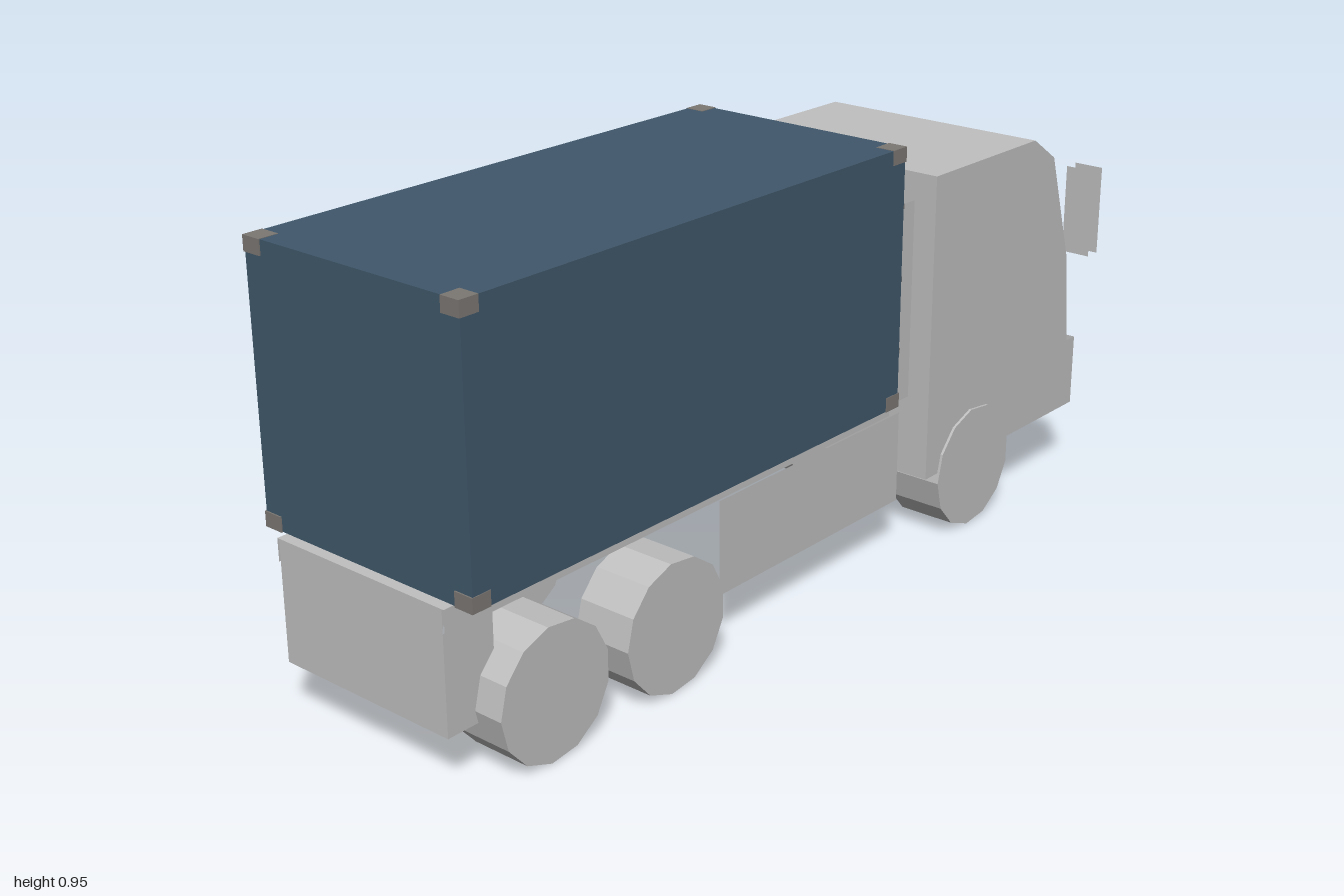
import * as THREE from 'three';

export function createModel() {
  const model = new THREE.Group();
  model.name = 'containerTruck';

  const grey = new THREE.MeshStandardMaterial({ color: 0xc0c0c0, side: THREE.DoubleSide, flatShading: true });
  grey.name = 'bodyGrey';
  const blue = new THREE.MeshStandardMaterial({ color: 0x40586b });
  blue.name = 'containerBlue';
  const steel = new THREE.MeshStandardMaterial({ color: 0x7c7874 });
  steel.name = 'fittingSteel';

  const add = (name, geometry, material, parent = model) => {
    const mesh = new THREE.Mesh(geometry, material);
    mesh.name = name;
    parent.add(mesh);
    return mesh;
  };
  const group = (name) => {
    const g = new THREE.Group();
    g.name = name;
    model.add(g);
    return g;
  };
  // Box given by its limits on each axis
  const box = (name, x0, x1, y0, y1, z0, z1, material, parent) =>
    add(name, new THREE.BoxGeometry(x1 - x0, y1 - y0, z1 - z0), material, parent)
      .position.set((x0 + x1) / 2, (y0 + y1) / 2, (z0 + z1) / 2);
  // Flat sheet in a plane of constant x, outlined by [z, y] points
  const sideSheet = (name, x, points, parent) => {
    const shape = new THREE.Shape(points.map(([z, y]) => new THREE.Vector2(-z, y)));
    const geometry = new THREE.ShapeGeometry(shape).rotateY(Math.PI / 2);
    add(name, geometry, grey, parent).position.x = x;
  };
  // Folded sheet spanning -w to w along a path of [z, y] points
  const foldedSheet = (name, w, path, parent) => {
    const pos = [];
    for (let i = 0; i < path.length - 1; i++) {
      const [z0, y0] = path[i], [z1, y1] = path[i + 1];
      pos.push(-w, y0, z0, w, y0, z0, w, y1, z1, -w, y0, z0, w, y1, z1, -w, y1, z1);
    }
    const geometry = new THREE.BufferGeometry();
    geometry.setAttribute('position', new THREE.Float32BufferAttribute(pos, 3));
    geometry.computeVertexNormals();
    add(name, geometry, grey, parent);
  };
  const rect = (z0, z1, y0, y1) => [[z0, y0], [z1, y0], [z1, y1], [z0, y1]];

  // Cab: open-bottomed shell with a bumper that is open on top
  const cab = group('cab');
  const shell = [[-0.39, 0.165], [-0.39, 0.862], [-0.775, 0.862], [-0.86, 0.805], [-0.94, 0.555], [-0.967, 0.333]];
  const bumper = [[-1, 0.333], [-1, 0.165]];
  foldedSheet('cabShell', 0.28, shell, cab);
  foldedSheet('bumper', 0.28, bumper, cab);
  for (const s of [-1, 1]) {
    sideSheet('cabSide', s * 0.28, [...shell, ...bumper], cab);
    // Pairs of thin mirror plates
    for (const z of [-0.945, -0.983]) {
      add('mirror', new THREE.PlaneGeometry(0.07, 0.205), grey, cab).position.set(s * 0.3, 0.662, z);
    }
  }

  // Chassis deck, tail, skirts and fairings, all thin sheets
  const chassis = group('chassis');
  foldedSheet('deck', 0.225, [[-0.325, 0.345], [-0.325, 0.374], [1, 0.374]], chassis);
  foldedSheet('tailPanel', 0.22, [[1, 0.115], [1, 0.374]], chassis);
  for (const s of [-1, 1]) {
    sideSheet('deckEdge', s * 0.225, [[1, 0.325], [-0.32, 0.325], [-0.325, 0.374], [1, 0.374]], chassis);
    sideSheet('tailSide', s * 0.22, rect(0.88, 1, 0.115, 0.325), chassis);
    sideSheet('skirt', s * 0.23, rect(-0.35, 0.262, 0.115, 0.325), chassis);
    sideSheet('rearFairing', s * 0.225, rect(-0.39, -0.327, 0.35, 0.8), chassis);
  }

  // Wheels
  const wheels = group('wheels');
  const wheelGeometry = new THREE.CylinderGeometry(0.142, 0.142, 0.135, 13).rotateZ(Math.PI / 2);
  for (const z of [0.79, 0.455, -0.572]) {
    for (const s of [-1, 1]) {
      const wheel = add('wheel', wheelGeometry, grey, wheels);
      wheel.position.set(s * 0.2185, 0.142, z);
    }
  }

  // Container body with floor rails and cross members
  const container = group('container');
  box('containerBody', -0.278, 0.278, 0.388, 0.949, -0.274, 0.979, blue, container);
  for (const s of [-1, 1]) {
    box('floorRail', s * 0.272 - 0.006, s * 0.272 + 0.006, 0.376, 0.388, -0.274, 0.979, blue, container);
  }
  for (let i = 0; i <= 28; i++) {
    const z = -0.264 + i * 0.0441;
    box('crossMember', -0.266, 0.266, 0.376, 0.388, z - 0.008, z + 0.008, blue, container);
  }
  for (const z of [-0.27, 0.975]) {
    box('endSill', -0.278, 0.278, 0.376, 0.388, z - 0.004, z + 0.004, blue, container);
  }

  // Corner fittings
  for (const x of [-0.257, 0.257]) {
    for (const y of [0.391, 0.934]) {
      for (const z of [-0.2545, 0.9595]) {
        box('cornerFitting', x - 0.0225, x + 0.0225, y - 0.016, y + 0.016, z - 0.0225, z + 0.0225, steel, container);
      }
    }
  }

  // Door lock rods, handles and hinges on the cab-side end
  for (const s of [-1, 1]) {
    for (const x of [0.065, 0.17]) {
      box('lockRod', s * x - 0.004, s * x + 0.004, 0.45, 0.89, -0.294, -0.284, steel, container);
      for (const y of [0.47, 0.66, 0.87]) {
        box('rodBracket', s * x - 0.008, s * x + 0.008, y - 0.006, y + 0.006, -0.29, -0.273, steel, container);
      }
    }
    box('doorHandle', s * 0.1175 - 0.0525, s * 0.1175 + 0.0525, 0.57, 0.58, -0.302, -0.293, steel, container);
    for (const y of [0.5, 0.66, 0.82]) {
      box('hinge', s * 0.255 - 0.018, s * 0.255 + 0.018, y - 0.006, y + 0.006, -0.284, -0.273, steel, container);
    }
  }

  return model;
}
